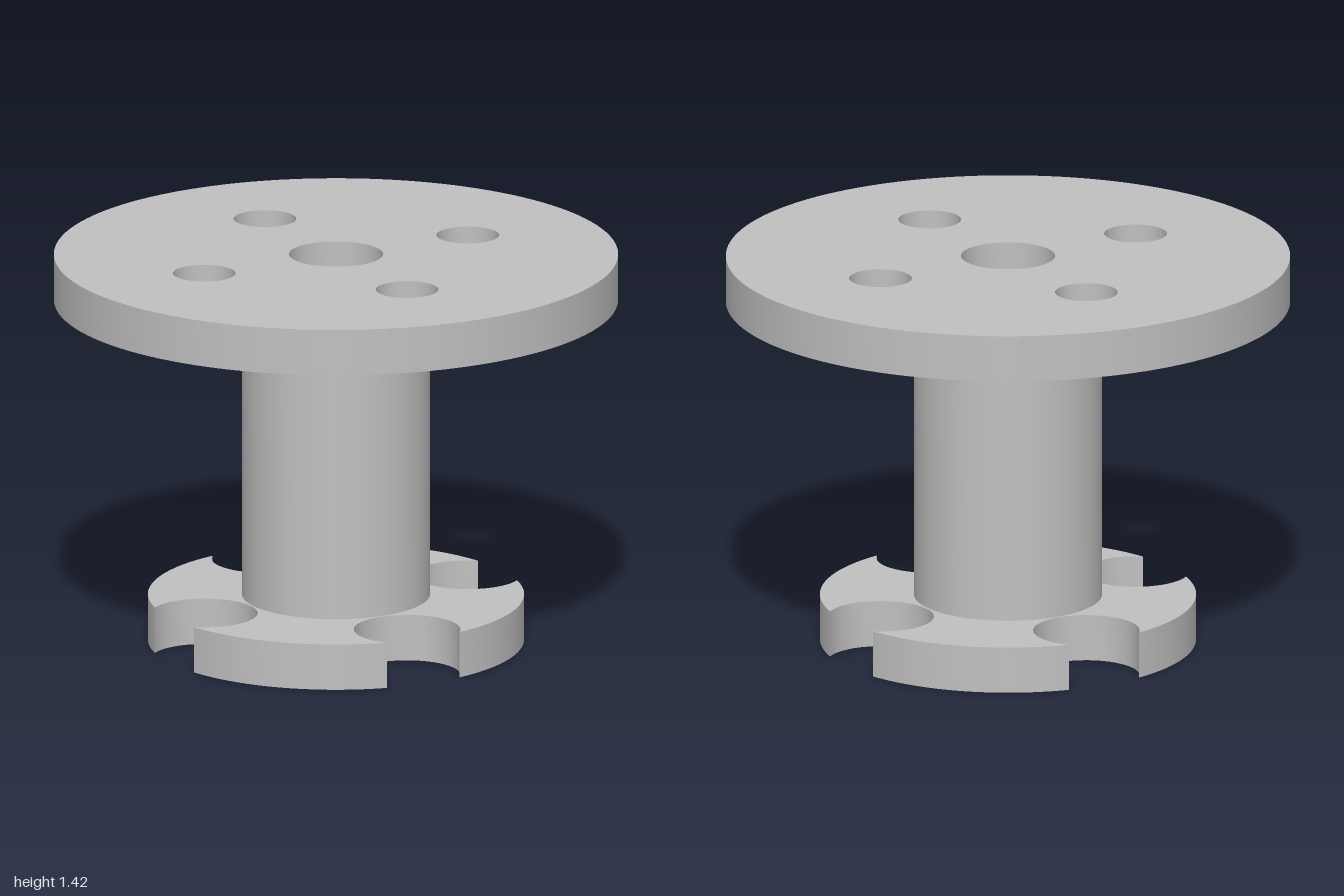
import * as THREE from 'three';
import { toCreasedNormals } from 'three/addons/utils/BufferGeometryUtils.js';

const THICK = 1 / 6;          // thickness of both flanges
const SHAFT_H = 13 / 12;
const SHAFT_R = 1 / 3;
const BORE_R = 1 / 6;
const BASE_R = 2 / 3;
const BOLT = 0.375;           // x and z offset of bolt holes and notches
const NOTCH_R = 0.189;

const material = new THREE.MeshStandardMaterial({ color: 0xc0c0c0 });
material.name = 'grey metal';

// Points along an arc, leaving out the end point
function arc(cx, cy, r, from, to, steps) {
  return Array.from({ length: steps }, (_, i) => {
    const a = from + ((to - from) * i) / steps;
    return new THREE.Vector2(cx + r * Math.cos(a), cy + r * Math.sin(a));
  });
}

function circle(x, y, r, steps) {
  return arc(x, y, r, 0, Math.PI * 2, steps);
}

// Vertical extrusion of an outline with holes, from height y upwards
function plate(name, outline, holes, y, height) {
  const shape = new THREE.Shape(outline);
  shape.holes = holes.map((points) => new THREE.Path(points));
  const geometry = new THREE.ExtrudeGeometry(shape, { depth: height, bevelEnabled: false });
  geometry.rotateX(-Math.PI / 2);
  geometry.translate(0, y, 0);
  const mesh = new THREE.Mesh(toCreasedNormals(geometry, Math.PI / 6), material);
  mesh.name = name;
  return mesh;
}

// Disc outline with four round notches breaking through the rim
function notchedOutline() {
  const d = BOLT * Math.SQRT2;
  const u = (BASE_R ** 2 + d ** 2 - NOTCH_R ** 2) / (2 * d);
  const v = Math.sqrt(BASE_R ** 2 - u ** 2);
  const rim = Math.atan2(v, u);         // half angle of the opening on the rim
  const lip = Math.atan2(v, u - d);     // same corner seen from the notch centre
  const points = [];
  for (let k = 0; k < 4; k++) {
    const t = Math.PI / 4 + (k * Math.PI) / 2;
    points.push(
      ...arc(d * Math.cos(t), d * Math.sin(t), NOTCH_R, t - lip, t + lip - Math.PI * 2, 32),
      ...arc(0, 0, BASE_R, t + rim, t + Math.PI / 2 - rim, 28)
    );
  }
  return points;
}

export function createModel() {
  const group = new THREE.Group();
  group.name = 'flangedHub';

  const boltHoles = [];
  for (const x of [-BOLT, BOLT]) {
    for (const z of [-BOLT, BOLT]) boltHoles.push(circle(x, z, 1 / 9, 48));
  }
  const bore = circle(0, 0, BORE_R, 64);

  group.add(
    plate('notchedBase', notchedOutline(), [], 0, THICK),
    plate('hollowShaft', circle(0, 0, SHAFT_R, 96), [bore], THICK, SHAFT_H),
    plate('topFlange', circle(0, 0, 1, 128), [bore, ...boltHoles], THICK + SHAFT_H, THICK)
  );
  return group;
}
